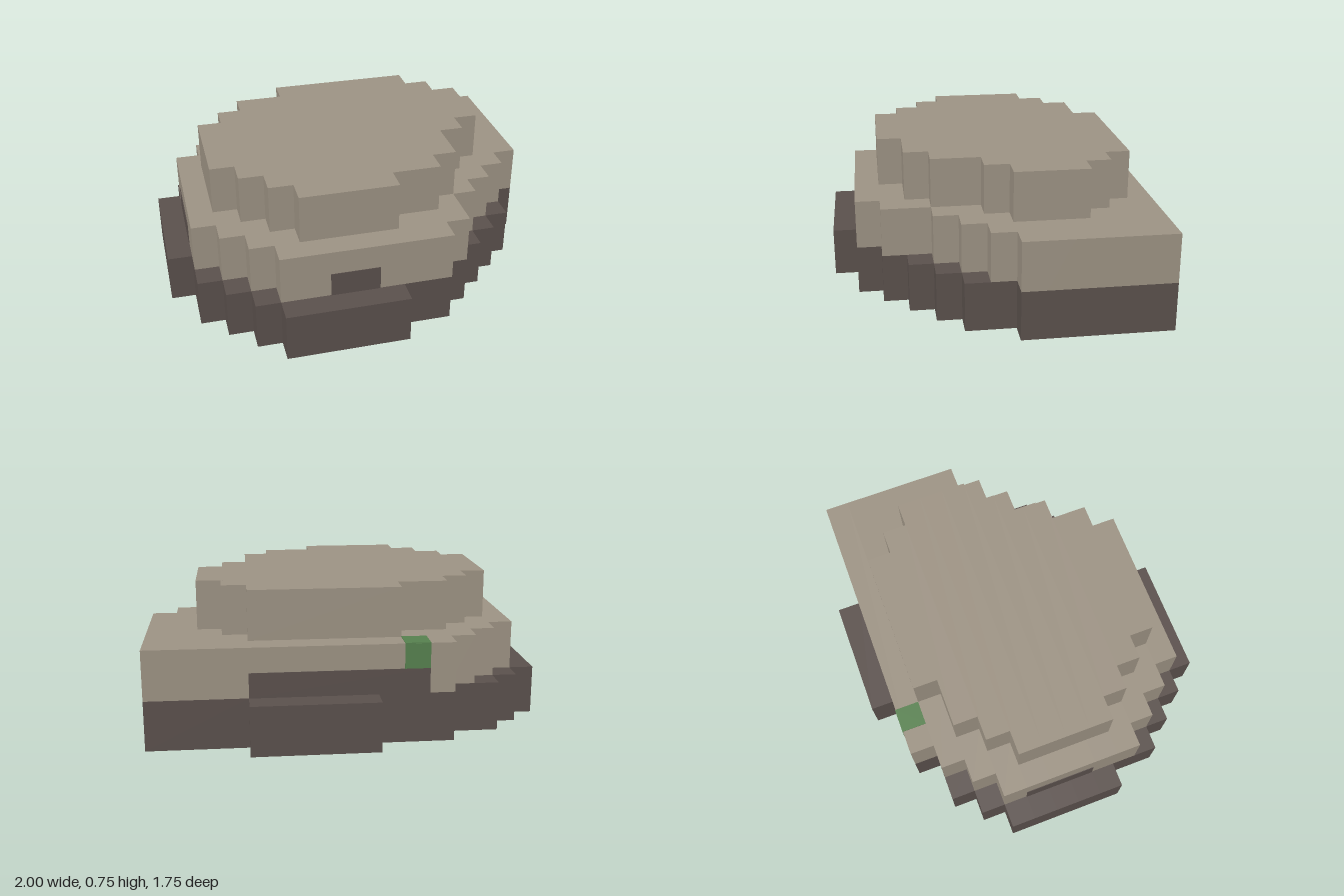
import * as THREE from 'three';

const U = 0.125; // one block

// Each tier: first row z, then [left, right] extent of every row, in blocks
const base = { z: -7, rows: [[-1, 4], [-4, 8], [-6, 8], [-7, 8], [-8, 8], [-8, 8], [-8, 8], [-8, 7],
  [-8, 7], [-7, 6], [-7, 5], [-6, 4], [-5, 3], [-4, 1]] };
const middle = { z: -6, rows: [[-4, 8], [-5, 8], [-6, 8], [-7, 8], [-7, 8], [-7, 8], [-7, 7],
  [-7, 6], [-7, 5], [-6, 4], [-5, 4], [-4, 3]] };
const top = { z: -5, rows: [[-2, 4], [-4, 5], [-5, 6], [-6, 6], [-6, 6], [-6, 5], [-6, 4],
  [-5, 4], [-4, 3], [-3, 1]] };

function quadGeometry(quads) {
  const pos = [];
  for (const [a, b, c, d] of quads) for (const p of [a, b, c, a, c, d]) pos.push(...p.map((v) => v * U));
  const g = new THREE.BufferGeometry();
  g.setAttribute('position', new THREE.Float32BufferAttribute(pos, 3));
  g.computeVertexNormals();
  return g;
}

// Stepped wall following the tier outline
function wallQuads(tier, y0, y1) {
  const left = [], right = [];
  tier.rows.forEach(([l, r], i) => {
    const z = tier.z + i;
    left.push([l, z], [l, z + 1]);
    right.unshift([r, z + 1], [r, z]);
  });
  const pts = [...left, ...right];
  const quads = [];
  pts.forEach(([ax, az], i) => {
    const [bx, bz] = pts[(i + 1) % pts.length];
    if (ax === bx && az === bz) return;
    quads.push([[ax, y0, az], [bx, y0, bz], [bx, y1, bz], [ax, y1, az]]);
  });
  return quads;
}

// Horizontal surface of a tier, leaving out what the next tier covers
function ledgeQuads(tier, next, y) {
  const quads = [];
  const strip = (x0, x1, z) => {
    if (x1 > x0) quads.push([[x0, y, z], [x0, y, z + 1], [x1, y, z + 1], [x1, y, z]]);
  };
  tier.rows.forEach(([l, r], i) => {
    const z = tier.z + i;
    const inner = next && next.rows[z - next.z];
    if (inner) {
      strip(l, inner[0], z);
      strip(inner[1], r, z);
    } else strip(l, r, z);
  });
  return quads;
}

export function createModel() {
  const group = new THREE.Group();
  const material = (name, color) => {
    const m = new THREE.MeshStandardMaterial({ color, side: THREE.DoubleSide });
    m.name = name;
    return m;
  };
  const stone = material('paleStone', 0x9c9283);
  const earth = material('darkEarth', 0x5a504c);
  const moss = material('mossGreen', 0x56804e);

  const add = (name, geometry, mat) => {
    const mesh = new THREE.Mesh(geometry, mat);
    mesh.name = name;
    group.add(mesh);
  };

  // Three hollow tiers, open underneath
  [['base', base, middle, earth], ['middle', middle, top, stone], ['top', top, null, stone]]
    .forEach(([name, tier, next, mat], i) => {
      add(name + 'TierWall', quadGeometry(wallQuads(tier, i * 2, i * 2 + 2)), mat);
      add(name + 'TierLedge', quadGeometry(ledgeQuads(tier, next, i * 2 + 2)), mat);
    });

  // Thin plates set into the walls, extents in blocks; they show inside and out
  const plate = (name, mat, x0, x1, y0, y1, z0, z1) => {
    const t = 0.006;
    const g = new THREE.BoxGeometry((x1 - x0) * U || t, (y1 - y0) * U || t, (z1 - z0) * U || t);
    g.translate((x0 + x1) * U / 2, (y0 + y1) * U / 2, (z0 + z1) * U / 2);
    add(name, g, mat);
  };
  plate('frontEarthPatch', earth, -2, 0, 2, 3, 6, 6);
  plate('backEarthPatch', earth, -3, 4, 2, 3, -6, -6);
  plate('sideEarthPatch', earth, -7, -7, 2, 3, -2, 1);
  plate('mossBackPatch', moss, -3, -2, 3, 4, -6, -6);
  plate('mossTopPatch', moss, -3, -2, 4, 4, -6, -5);

  return group;
}
